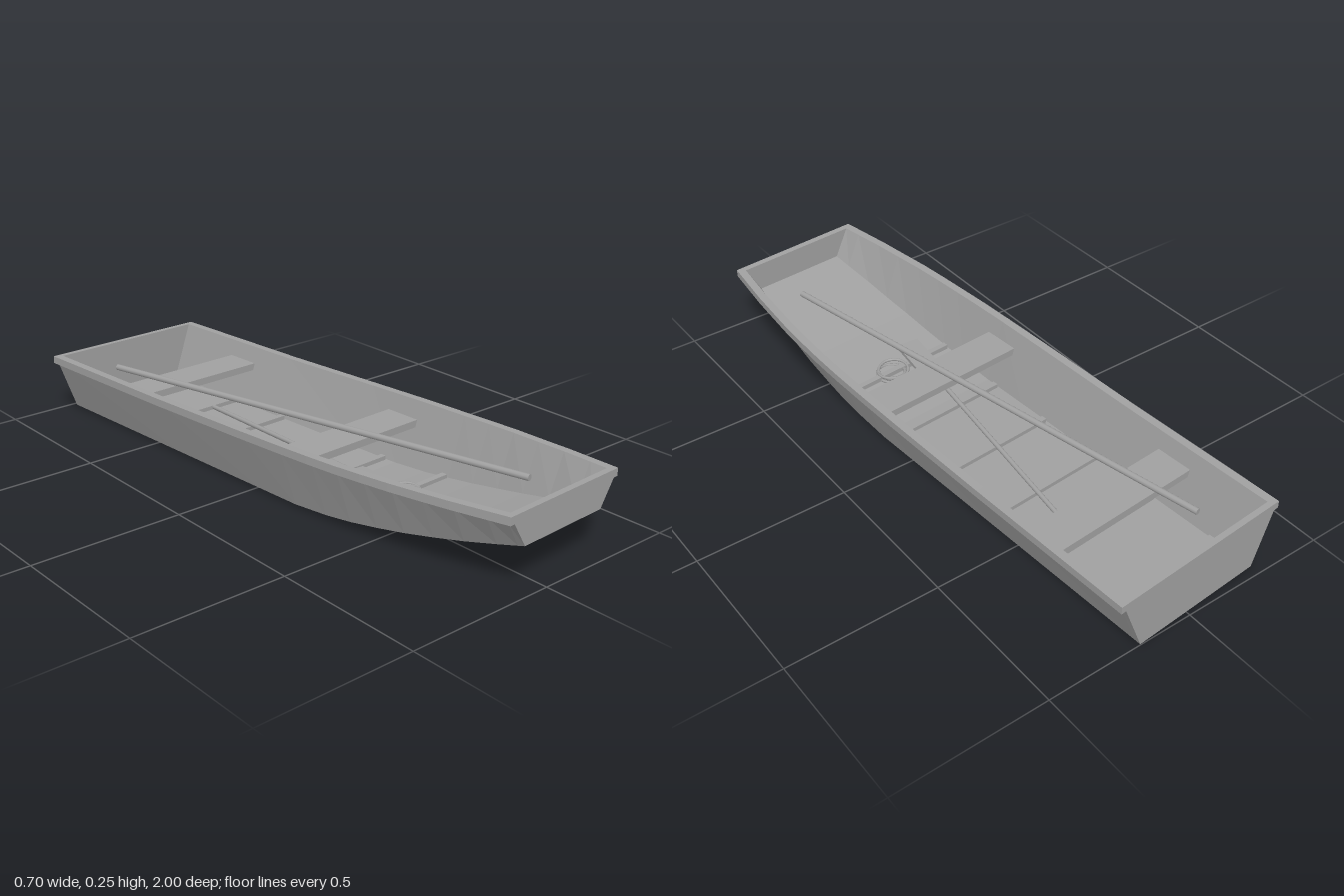
import * as THREE from 'three';

const paint = new THREE.MeshStandardMaterial({ color: 0xa0a0a0 });
paint.name = 'weathered grey';

// Piecewise-linear lookup: pts = [[z, value], ...]
function lerpAt(pts, z) {
  for (let i = 1; i < pts.length; i++) {
    const [z0, v0] = pts[i - 1], [z1, v1] = pts[i];
    if (z <= z1) return v0 + (v1 - v0) * Math.max(0, (z - z0) / (z1 - z0));
  }
  return pts[pts.length - 1][1];
}

// Hull lines along its length
const keelY = (z) => 0.142 * Math.pow(Math.max(0, (z - 0.17) / 0.813), 1.5);
const floorHalf = (z) => lerpAt([[0.2, 0.225], [0.4, 0.222], [0.6, 0.211], [0.8, 0.193], [0.983, 0.169]], z);
const rimHalf = (z) => lerpAt([[0.1, 0.31], [0.3, 0.306], [0.45, 0.3], [0.6, 0.289], [0.8, 0.266], [0.983, 0.238]], z);
const rimY = (z) => lerpAt([[-0.983, 0.203], [-0.4, 0.207], [0, 0.215], [0.4, 0.224], [0.7, 0.235], [0.983, 0.247]], z);

// Half outline from the bottom corner up around the gunwale lip
function outerSide(z) {
  const y = rimY(z), w = rimHalf(z);
  return [[floorHalf(z), keelY(z)], [w - 0.017, y - 0.025], [w, y - 0.025], [w, y]];
}
const innerSide = (z) => [[rimHalf(z) - 0.027, rimY(z)], [floorHalf(z) - 0.009, keelY(z) + 0.012]];

// Mirror a half outline into a counter-clockwise ring
function ring(half, z) {
  const right = half.map(([x, y]) => new THREE.Vector3(x, y, z));
  const left = half.map(([x, y]) => new THREE.Vector3(-x, y, z)).reverse();
  return [...right, ...left];
}

function loft(rings, capped) {
  const pos = [];
  const tri = (...p) => p.forEach((v) => pos.push(v.x, v.y, v.z));
  for (let k = 1; k < rings.length; k++) {
    const a = rings[k - 1], b = rings[k], n = a.length;
    for (let i = 0; i < n; i++) {
      const j = (i + 1) % n;
      tri(a[i], a[j], b[j]);
      tri(a[i], b[j], b[i]);
    }
  }
  if (capped) {
    const first = rings[0], last = rings[rings.length - 1];
    const faces = THREE.ShapeUtils.triangulateShape(last.map((v) => new THREE.Vector2(v.x, v.y)), []);
    for (const [a, b, c] of faces) {
      tri(last[a], last[b], last[c]);
      tri(first[c], first[b], first[a]);
    }
  }
  const g = new THREE.BufferGeometry();
  g.setAttribute('position', new THREE.Float32BufferAttribute(pos, 3));
  g.computeVertexNormals();
  return g;
}

function add(parent, name, geometry, x = 0, y = 0, z = 0) {
  const mesh = new THREE.Mesh(geometry, paint);
  mesh.name = name;
  mesh.position.set(x, y, z);
  parent.add(mesh);
  return mesh;
}

// Round pole between two points
function pole(parent, name, from, to, radius) {
  const dir = to.clone().sub(from);
  const mid = from.clone().add(to).multiplyScalar(0.5);
  const mesh = add(parent, name, new THREE.CylinderGeometry(radius, radius, dir.length(), 10), mid.x, mid.y, mid.z);
  mesh.quaternion.setFromUnitVectors(new THREE.Vector3(0, 1, 0), dir.normalize());
  return mesh;
}

export function createModel() {
  const root = new THREE.Group();
  root.name = 'flatBottomBoat';

  // The boat rests slightly turned and heeled
  const boat = new THREE.Group();
  boat.name = 'boat';
  boat.position.set(0.018, 0.0035, -0.003);
  boat.rotation.set(0, 0.0615, -0.015);
  root.add(boat);

  // Open hull shell with gunwale
  const stations = [-0.965, -0.4, 0, 0.17, 0.3, 0.4, 0.5, 0.6, 0.7, 0.8, 0.9, 0.963];
  add(boat, 'hull', loft(stations.map((z) => ring([...outerSide(z), ...innerSide(z)], z)
  ), false));

  // End boards
  for (const [name, z0, z1] of [['sternBoard', -0.983, -0.964], ['bowBoard', 0.962, 0.983]]) {
    add(boat, name, loft([ring(outerSide(z0), z0), ring(outerSide(z1), z1)], true));
  }

  // Bench seats
  add(boat, 'rearSeat', new THREE.BoxGeometry(0.535, 0.024, 0.127), 0, 0.14, -0.63);
  add(boat, 'frontSeat', new THREE.BoxGeometry(0.54, 0.024, 0.127), 0, 0.15, 0.155);

  // Floor ribs
  for (const z of [-0.845, -0.603, -0.36, -0.118, 0.125, 0.388]) {
    const half = floorHalf(z) - 0.014;
    add(boat, 'floorRib', new THREE.BoxGeometry(half * 2, 0.016, 0.02), 0, keelY(z) + 0.018, z);
  }

  // Long punting pole lying across the seats
  pole(root, 'longPole', new THREE.Vector3(-0.172, 0.167, -0.83), new THREE.Vector3(0.174, 0.193, 0.773), 0.0105);

  // Paddle under the front seat, blade end raised
  const paddle = new THREE.Group();
  paddle.name = 'paddle';
  const grip = new THREE.Vector3(0.068, 0.027, -0.59);
  paddle.position.copy(grip);
  paddle.lookAt(new THREE.Vector3(-0.028, 0.094, 0.43));
  root.add(paddle);
  pole(paddle, 'paddleShaft', new THREE.Vector3(0, 0, 0), new THREE.Vector3(0, 0, 0.84), 0.008);
  add(paddle, 'paddleBlade', new THREE.BoxGeometry(0.08, 0.012, 0.2), 0, 0, 0.925);

  // Coiled rope on the floor
  const coil = new THREE.Group();
  coil.name = 'ropeCoil';
  coil.position.set(0.066, 0.036, 0.382);
  root.add(coil);
  [[0.052, 0, 0, 0], [0.046, 0.004, 0.009, 0.08], [0.05, -0.004, 0.014, -0.08]].forEach(([r, x, y, tilt]) => {
    const loop = add(coil, 'ropeLoop', new THREE.TorusGeometry(r, 0.005, 6, 24), x, y, 0);
    loop.rotation.set(Math.PI / 2 + tilt, tilt, 0);
  });

  return root;
}
